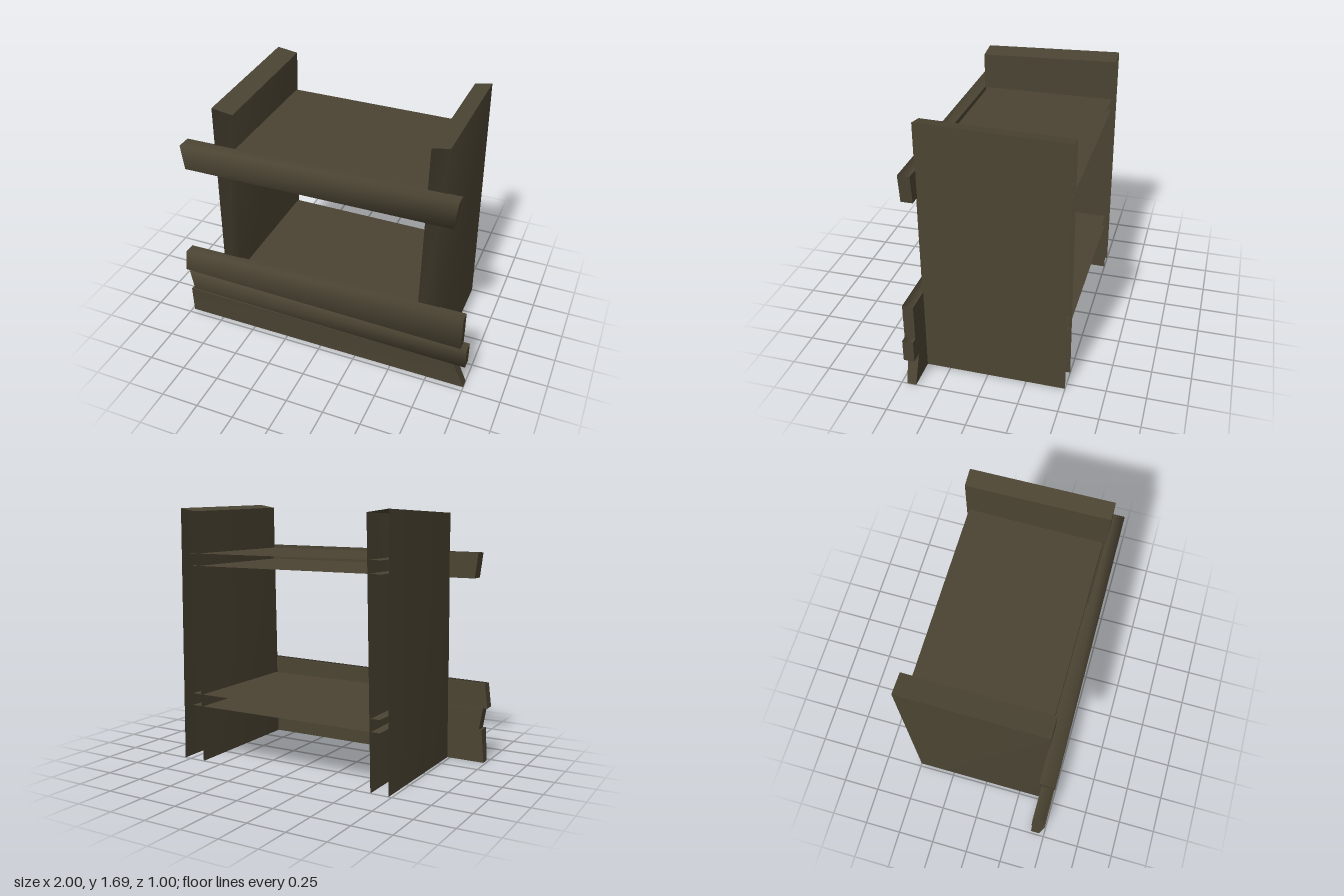
import * as THREE from 'three';

// Corner index = xSide + 2 * ySide + 4 * zSide
const FACES = {
  front: [4, 5, 7, 6], back: [1, 0, 2, 3],
  right: [5, 1, 3, 7], left: [0, 4, 6, 2],
  top: [6, 7, 3, 2], bottom: [0, 1, 5, 4],
};

// Six-sided block from 8 corners; "smooth" faces share normals, "flat" ones do not
function block(corners, smooth, flat) {
  const pos = corners.flat();
  const index = [];
  const quad = (a, b, c, d) => index.push(a, b, c, a, c, d);
  for (const name of smooth) quad(...FACES[name]);
  for (const name of flat) {
    const start = pos.length / 3;
    for (const i of FACES[name]) pos.push(...corners[i]);
    quad(start, start + 1, start + 2, start + 3);
  }
  const g = new THREE.BufferGeometry();
  g.setAttribute('position', new THREE.Float32BufferAttribute(pos, 3));
  g.setIndex(index);
  g.computeVertexNormals();
  return g;
}

export function createModel() {
  const group = new THREE.Group();
  const wood = new THREE.MeshStandardMaterial({ color: 0x4b4433, side: THREE.DoubleSide });
  wood.name = 'darkWood';

  const add = (name, geometry) => {
    const mesh = new THREE.Mesh(geometry, wood);
    mesh.name = name;
    group.add(mesh);
  };

  // Side panels, open at the back and underneath
  // [name, bottom x0, x1, top x0, x1, front top y0, y1, back top y0, y1]
  const panels = [
    ['rightPanel', -0.73, -0.61, -0.71, -0.57, 1.64, 1.62, 1.67, 1.65],
    ['leftPanel', 0.64, 0.795, 0.67, 0.78, 1.67, 1.69, 1.65, 1.67],
  ];
  const zBack = -0.5, zFront = 0.41;
  for (const [name, b0, b1, t0, t1, f0, f1, k0, k1] of panels) {
    add(name, block([
      [b0, 0, zBack], [b1, 0, zBack], [t0, k0, zBack], [t1, k1, zBack],
      [b0, 0, zFront], [b1, 0, zFront], [t0, f0, zFront], [t1, f1, zFront],
    ], ['front', 'left', 'right'], ['top']));
  }

  // Shelves, hollow at the back, with their ends inside the panels
  for (const [name, y] of [['lowerShelf', 0.37], ['upperShelf', 1.3]]) {
    const corners = [];
    for (const z of [-0.485, 0.39])
      for (const h of [y, y + 0.08])
        for (const x of [-0.66, 0.73]) corners.push([x, h, z]);
    add(name, block(corners, [], ['top', 'bottom', 'front']));
  }

  // Crooked front boards: [x, y] at bottom right, bottom left, top right, top left,
  // then the front z of the same four corners
  const boards = [
    ['bottomBoard', [-0.985, 0], [1, 0], [-0.965, 0.22], [0.925, 0.185], [0.465, 0.465, 0.495, 0.475], false],
    ['middleBoard', [-0.945, 0.215], [1, 0.185], [-0.97, 0.365], [1, 0.33], [0.485, 0.475, 0.485, 0.475], true],
    ['upperBoard', [-1, 0.37], [0.96, 0.33], [-0.98, 0.53], [0.96, 0.565], [0.48, 0.475, 0.48, 0.475], true],
    ['topRail', [-0.89, 1.22], [0.85, 1.22], [-0.91, 1.385], [0.87, 1.4], [0.5, 0.48, 0.5, 0.48], true],
  ];
  for (const [name, a, b, c, d, z, rounded] of boards) {
    const outline = [a, b, c, d];
    const corners = [
      ...outline.map(([x, y]) => [x, y, 0.405]),
      ...outline.map(([x, y], i) => [x, y, z[i]]),
    ];
    const wrap = ['front', 'top', 'bottom'];
    const ends = ['back', 'left', 'right'];
    add(name, rounded ? block(corners, wrap, ends) : block(corners, [], [...wrap, ...ends]));
  }

  return group;
}
